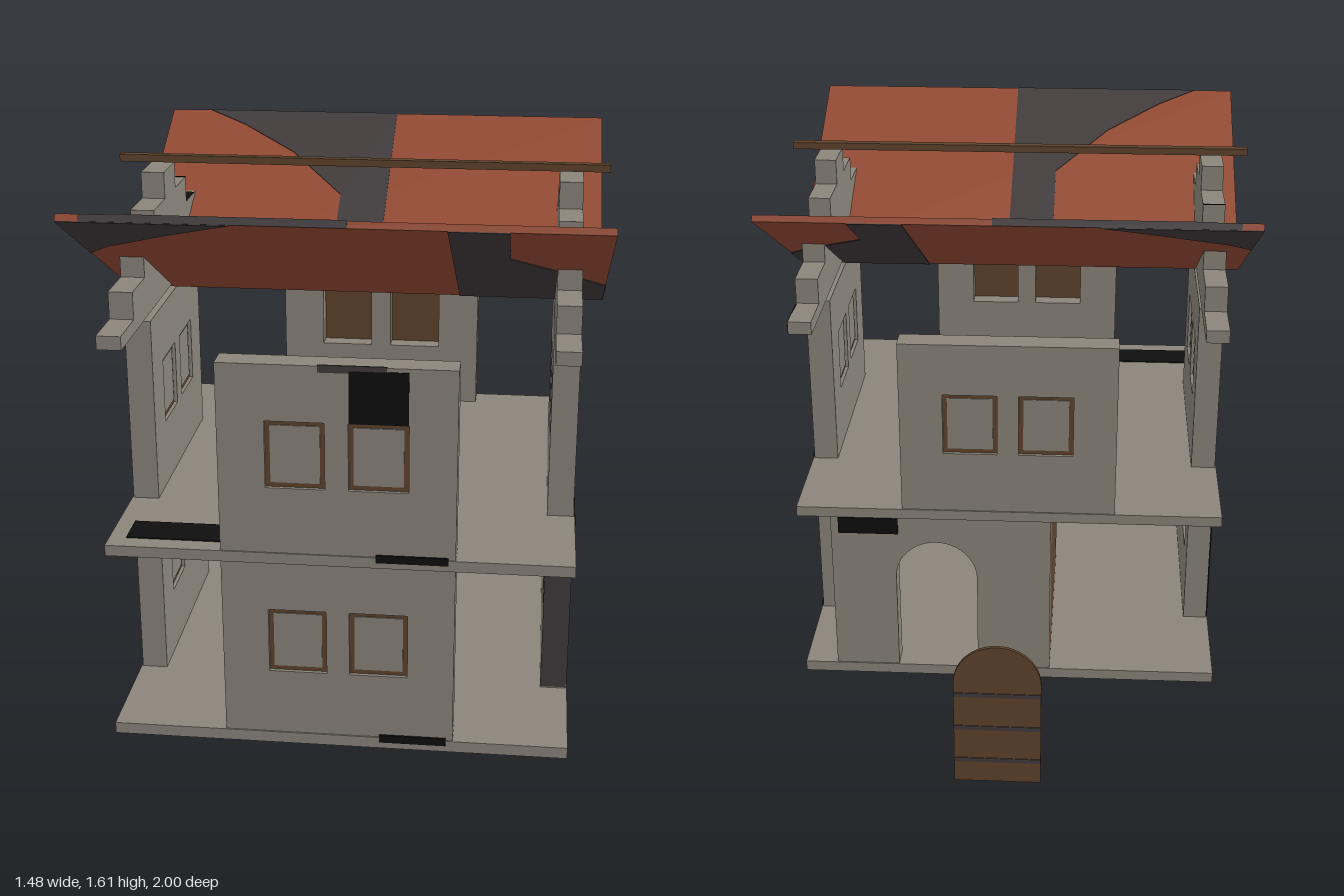
import * as THREE from 'three';

const mat = (name, color, side = THREE.FrontSide) => {
  const m = new THREE.MeshStandardMaterial({ color, side });
  m.name = name;
  return m;
};

const CZ = 0.265;          // z of the house centre
const HALF = 0.67;         // half width of the floor slabs
const T = 0.078;           // wall thickness
const PANEL = 0.67;        // wall panel width

export function createModel() {
  const stone = mat('stone', 0x8a847a);
  const wood = mat('wood', 0x5f432c);
  const tile = mat('roofTile', 0x924932);
  const slate = mat('slate', 0x403a3b);
  const soot = mat('soot', 0x0e0e0e);

  const root = new THREE.Group();
  root.name = 'explodedHouse';

  const add = (parent, name, geo, material, x = 0, y = 0, z = 0) => {
    const m = new THREE.Mesh(geo, material);
    m.name = name;
    m.position.set(x, y, z);
    parent.add(m);
    return m;
  };
  // box given by its minimum and maximum corners
  const span = (parent, name, material, x0, x1, y0, y1, z0, z1) =>
    add(parent, name, new THREE.BoxGeometry(x1 - x0, y1 - y0, z1 - z0), material,
      (x0 + x1) / 2, (y0 + y1) / 2, (z0 + z1) / 2);
  const poly = (pts) => new THREE.Shape(pts.map(([x, y]) => new THREE.Vector2(x, y)));
  const extrude = (shape, depth) => {
    const g = new THREE.ExtrudeGeometry(shape, { depth, bevelEnabled: false, curveSegments: 12 });
    g.translate(0, 0, -depth / 2);
    return g;
  };
  const rect = (x0, x1, y0, y1) => poly([[x0, y0], [x1, y0], [x1, y1], [x0, y1]]);
  const arch = (x, w, y0, y1) => {
    const s = new THREE.Shape(), r = w / 2;
    s.moveTo(x - r, y0);
    s.lineTo(x + r, y0);
    s.lineTo(x + r, y1 - r);
    s.absarc(x, y1 - r, r, 0, Math.PI, false);
    s.lineTo(x - r, y0);
    return s;
  };

  // Floor slabs
  const z0 = CZ - HALF, z1 = CZ + HALF;
  span(root, 'groundFloor', stone, -HALF, HALF, 0, 0.035, z0, z1);
  span(root, 'upperFloor', stone, -HALF, HALF, 0.587, 0.62, z0, z1);

  // Wall panel with two windows; shutterSide is +1 for a shutter at the outer face
  const windowWall = (name, y0, y1, winY, x, z, turn, shutterSide) => {
    const g = new THREE.Group();
    g.name = name;
    const shape = rect(-PANEL / 2, PANEL / 2, y0, y1);
    for (const cx of [-0.117, 0.117]) {
      shape.holes.push(rect(cx - 0.084, cx + 0.084, winY, winY + 0.2));
      const pz = shutterSide * (T / 2 - 0.016);
      add(g, 'windowShutter', new THREE.BoxGeometry(0.168, 0.2, 0.01), wood, cx, winY + 0.1, pz);
      add(g, 'windowPane', new THREE.BoxGeometry(0.14, 0.172, 0.004), stone,
        cx, winY + 0.1, pz + shutterSide * 0.006);
    }
    add(g, 'wall', extrude(shape, T), stone);
    g.position.set(x, 0, z);
    g.rotation.y = turn;
    root.add(g);
  };
  const off = HALF - T / 2 - 0.004;
  const lower = [0.035, 0.587, 0.238], upper = [0.62, 1.186, 0.82];
  for (const [label, dims] of [['lower', lower], ['upper', upper]]) {
    windowWall(label + 'FrontWall', ...dims, 0, CZ + off, 0, 1);
    windowWall(label + 'LeftWall', ...dims, off, CZ, Math.PI / 2, -1);
    windowWall(label + 'RightWall', ...dims, -off, CZ, -Math.PI / 2, -1);
  }
  windowWall('upperBackWall', ...upper, 0, CZ - off, Math.PI, 1);

  // Back wall with the arched doorway
  const doorWall = poly([[-0.135, 0.035], [0.1, 0.035], [0.1, 0.37]]);
  doorWall.absarc(0.23, 0.37, 0.13, Math.PI, 0, true);
  for (const p of [[0.36, 0.035], [0.565, 0.035], [0.565, 0.587], [-0.135, 0.587]]) doorWall.lineTo(...p);
  add(root, 'doorWall', extrude(doorWall, T), stone, 0, 0, CZ - off);

  // Wooden partition inside
  span(root, 'partition', wood, -0.135, -0.11, 0.035, 0.587, -0.325, 0.34);

  // Detached door with straps
  const door = new THREE.Group();
  door.name = 'door';
  root.add(door);
  add(door, 'doorLeaf', extrude(arch(0, 0.255, 0.04, 0.512), 0.01), wood, -0.002, 0, -0.992);
  for (const y of [0.11, 0.225, 0.34])
    span(door, 'doorStrap', slate, -0.128, 0.124, y, y + 0.014, -0.999, -0.985);

  // Stepped gables
  const steps = [[0.665, 1.25], [0.515, 1.33], [0.368, 1.41], [0.22, 1.49], [0.073, 1.57]];
  const outline = [[-0.665, 1.21], [0.665, 1.21]];
  steps.forEach(([d, y], i) => {
    outline.push([d, y]);
    if (i < 4) outline.push([steps[i + 1][0], y]);
  });
  for (let i = 4; i >= 0; i--) {
    outline.push([-steps[i][0], steps[i][1]]);
    if (i > 0) outline.push([-steps[i - 1][0], steps[i - 1][1]].map((v, k) => k ? v : -steps[i][0]));
  }
  for (const s of [-1, 1]) {
    const gable = add(root, s > 0 ? 'leftGable' : 'rightGable', extrude(poly(outline), 0.07), stone,
      s * 0.625, 0, CZ);
    gable.rotation.y = Math.PI / 2;
  }

  // Ridge beam
  span(root, 'ridgeBeam', wood, -0.738, 0.738, 1.588, 1.61, CZ - 0.014, CZ + 0.014);

  // Roof panels, with dark patches on both faces
  const L = 0.83, W = 0.732, th = 0.02, tilt = Math.atan2(0.73, 0.395);
  const topPatches = [
    [[-0.11, 0], [0.04, 0], [0.04, L], [-0.6, L], [-0.47, 0.755], [-0.29, 0.62], [-0.11, 0.415]],
    [[0.04, 0], [W, 0], [W, 0.21], [0.68, 0.15], [0.6, 0.1], [0.47, 0.1], [0.42, 0.06], [0.04, 0.055]],
  ];
  const underPatches = [
    [[0.3, 0], [0.46, 0], [0.46, L], [0.3, L]],
    [[-W, 0.46], [-0.66, 0.55], [-0.45, 0.71], [-0.27, L], [-W, L]],
    [[0.46, 0], [W, 0], [W, 0.21], [0.6, 0.38], [0.46, 0.53]],
  ];
  for (const s of [1, -1]) {
    const roof = new THREE.Group();
    roof.name = s > 0 ? 'frontRoof' : 'backRoof';
    roof.position.set(0, 1.203, CZ);
    roof.rotation.x = s * tilt;
    root.add(roof);
    add(roof, 'roofPanel', new THREE.BoxGeometry(2 * W, L, th), tile, 0, L / 2, 0);
    for (const p of topPatches)
      add(roof, 'topPatch', extrude(poly(p), 0.003), slate, 0, 0, -s * (th / 2 + 0.001));
    for (const p of underPatches)
      add(roof, 'underPatch', extrude(poly(p), 0.003), slate, 0, 0, s * (th / 2 + 0.001));
    span(roof, 'sidePatch', slate, W - 0.002, W + 0.002, 0, 0.18, -th / 2, th / 2);
    span(roof, 'eavePatch', slate, -0.67, 0.04, L - 0.002, L + 0.002, -th / 2, th / 2);
  }

  // Soot marks and dark corner
  const e = 0.003;
  const mark = (name, m, ...b) => span(root, name, m, ...b);
  const F = CZ + HALF, R = HALF;
  mark('frontSoot', soot, 0.035, 0.2, 1.022, 1.175, F - 0.006, F - 0.001);
  mark('frontTopSoot', slate, -0.05, 0.14, 1.168, 1.19, F - 0.006, F - 0.001);
  mark('frontFloorSoot', soot, 0.11, 0.315, 0.605, 0.628, F - e, F + e);
  mark('frontBaseSoot', soot, 0.12, 0.315, 0.02, 0.044, F - e, F + e);
  mark('leftFloorSoot', soot, R - e, R + e, 0.605, 0.628, -0.055, 0.145);
  mark('leftBaseSoot', soot, R - e, R + e, 0.022, 0.046, -0.055, 0.14);
  mark('leftSeamSoot', soot, R - e, R + e, 0.58, 0.603, 0.17, 0.595);
  mark('leftCornerFace', slate, R - 0.006, R - 0.001, 0.05, 0.582, 0.47, 0.6);
  mark('leftCornerEnd', slate, 0.588, 0.666, 0.04, 0.585, 0.599, 0.603);
  mark('rightCornerSoot', soot, -R + 0.001, -R + 0.006, 0.04, 0.585, -0.07, 0.08);
  mark('rightMiddleSoot', soot, -R + 0.001, -R + 0.006, 0.04, 0.585, 0.235, 0.295);
  mark('gableEndSoot', soot, 0.657, 0.662, 1.212, 1.25, -0.4, -0.255);
  mark('gableStepSoot', soot, -0.66, -0.59, 1.488, 1.492, 0.046, 0.05);
  mark('gableTopSoot', soot, -0.66, -0.59, 1.409, 1.413, -0.07, 0.035);
  mark('upperFloorSoot', soot, -0.62, -0.335, 0.618, 0.623, 0.77, 0.88);
  mark('doorWallSoot', soot, 0.35, 0.54, 0.53, 0.586, -0.407, -0.401);
  mark('doorWallInnerSoot', soot, 0.33, 0.365, 0.5, 0.586, -0.326, -0.32);
  mark('baseSoot', soot, -0.66, 0.6, -0.001, 0.003, -0.37, -0.26);

  return root;
}
